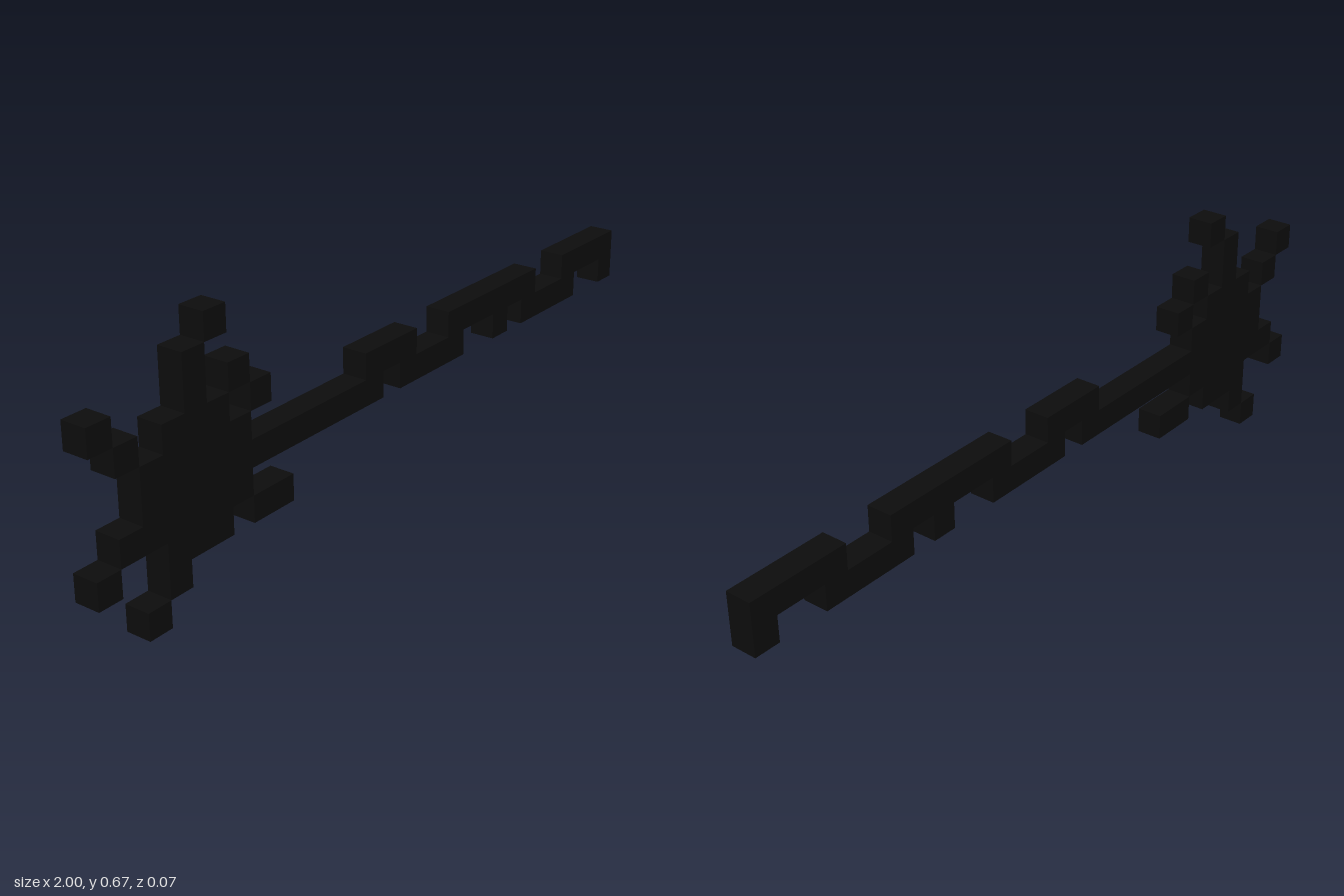
import * as THREE from 'three';

const CELL = 2 / 30; // the model sits on a grid 30 cells wide, 10 high, 1 deep

export function createModel() {
  const model = new THREE.Group();
  const black = new THREE.MeshStandardMaterial({ color: 0x0d0d0d });
  black.name = 'black';

  // Adds a named group of blocks, each [first column, first row, columns, rows]
  function addPart(name, blocks) {
    const part = new THREE.Group();
    part.name = name;
    for (const [col, row, w, h] of blocks) {
      const block = new THREE.Mesh(new THREE.BoxGeometry(w * CELL, h * CELL, CELL), black);
      block.name = name + 'Block';
      block.position.set((col + w / 2 - 15) * CELL, (row + h / 2) * CELL, 0);
      part.add(block);
    }
    model.add(part);
  }

  // Rounded head
  addPart('head', [[3, 2, 3, 1], [2, 3, 5, 3], [3, 6, 3, 1]]);

  // Spikes around the head
  addPart('topSpike', [[4, 7, 1, 2], [5, 9, 1, 1]]);
  addPart('upperOuterSpike', [[1, 6, 1, 1], [0, 7, 1, 1]]);
  addPart('lowerOuterSpike', [[1, 3, 1, 1], [0, 2, 1, 1]]);
  addPart('bottomSpike', [[3, 1, 1, 1], [2, 0, 1, 1]]);
  addPart('upperInnerSpike', [[6, 7, 1, 1], [7, 6, 1, 1]]);
  addPart('lowerInnerSpike', [[7, 2, 2, 1]]);

  // Long wavy tail, alternating between two rows
  addPart('tailLower', [[7, 4, 7, 1], [15, 4, 4, 1], [23, 4, 4, 1]]);
  addPart('tailUpper', [[13, 5, 3, 1], [18, 5, 6, 1], [26, 5, 4, 1]]);
  addPart('tailBump', [[21, 4, 1, 1]]);
  addPart('tailTip', [[29, 4, 1, 1]]);

  return model;
}
